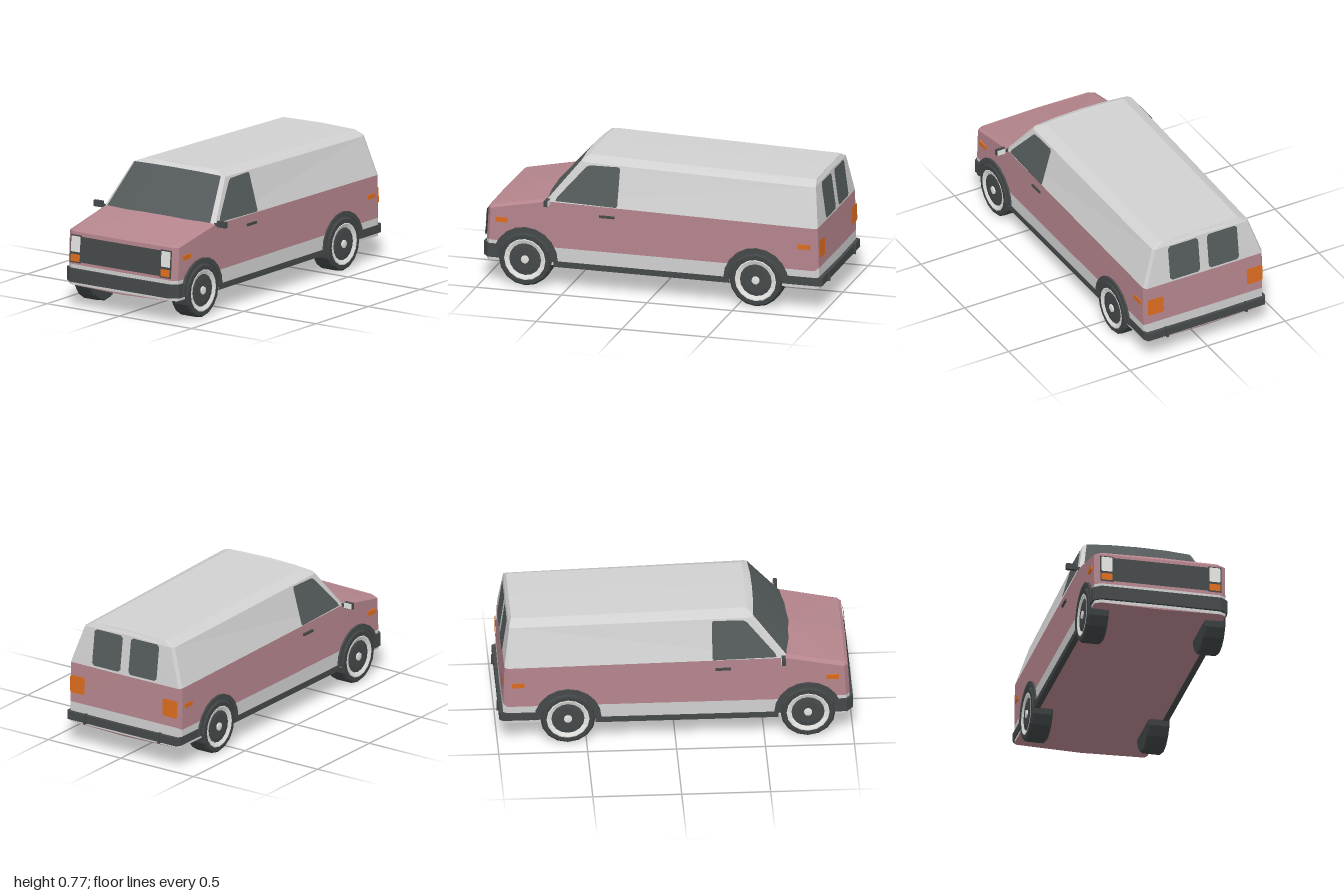
import * as THREE from 'three';

const paint = (name, color) => {
  const m = new THREE.MeshStandardMaterial({ color, side: THREE.DoubleSide });
  m.name = name;
  return m;
};

export function createModel() {
  const van = new THREE.Group();
  van.name = 'van';
  const pink = paint('dusty pink', 0xb5858d);
  const white = paint('off white', 0xd0d0d0);
  const glass = paint('dark glass', 0x545a5b);
  const trim = paint('dark trim', 0x454949);
  const tyreMat = paint('tyre', 0x3f4444);
  const rimMat = paint('bright rim', 0xe4e4e2);
  const orange = paint('orange lens', 0xdc6c1e);

  // Adds a flat-shaded mesh, and by default its mirror image across z = 0
  function add(name, mat, geo, both = true) {
    const flat = geo.index ? geo.toNonIndexed() : geo;
    flat.computeVertexNormals();
    van.add(Object.assign(new THREE.Mesh(flat, mat), { name }));
    if (!both) return;
    const other = flat.clone();
    const p = other.attributes.position;
    const src = flat.attributes.position;
    for (let i = 0; i < p.count; i++) {
      const j = i - (i % 3) + 2 - (i % 3);
      p.setXYZ(i, src.getX(j), src.getY(j), -src.getZ(j));
    }
    other.computeVertexNormals();
    van.add(Object.assign(new THREE.Mesh(other, mat), { name: name + 'Opposite' }));
  }

  // Quads between a lower and an upper line, both running from nose to tail
  function strip(name, mat, a, b) {
    const pos = [];
    for (let i = 0; i < a.length - 1; i++) {
      pos.push(...a[i], ...a[i + 1], ...b[i + 1], ...a[i], ...b[i + 1], ...b[i]);
    }
    const geo = new THREE.BufferGeometry();
    geo.setAttribute('position', new THREE.Float32BufferAttribute(pos, 3));
    add(name, mat, geo);
  }

  const poly = (pts) => new THREE.Shape(pts.map(([x, y]) => new THREE.Vector2(x, y)));

  // Rectangle with clipped corners
  const plate = (u0, v0, u1, v1, r = 0.01) => [
    [u0 + r, v0], [u1 - r, v0], [u1, v0 + r], [u1, v1 - r],
    [u1 - r, v1], [u0 + r, v1], [u0, v1 - r], [u0, v0 + r]];

  // Thin face laid onto a body surface by a mapping rule
  function panel(name, mat, pts, map) {
    const geo = new THREE.ShapeGeometry(poly(pts));
    const p = geo.attributes.position;
    for (let i = 0; i < p.count; i++) p.setXYZ(i, ...map(p.getX(i), p.getY(i)));
    add(name, mat, geo);
  }

  function box(name, mat, x0, x1, y0, y1, z0, z1, both = true) {
    const geo = new THREE.BoxGeometry(x1 - x0, y1 - y0, z1 - z0);
    geo.translate((x0 + x1) / 2, (y0 + y1) / 2, (z0 + z1) / 2);
    add(name, mat, geo, both);
  }

  // Lower body: stacked half outlines from nose to tail
  const outline = [[-0.987, 0], [-0.982, 0.345], [-0.96, 0.378], [-0.61, 0.383],
    [0.945, 0.383], [0.968, 0.37], [0.972, 0]];
  const ring = (ys) => outline.map(([x, z], i) => [x, ys[i], z]);
  const floor = ring(outline.map(() => 0.132));
  const stripe = ring([0.25, 0.25, 0.25, 0.237, 0.237, 0.252, 0.254]);
  const belt = [[-0.975, 0.437, 0], [-0.971, 0.437, 0.345], [-0.95, 0.437, 0.378],
    [-0.61, 0.505, 0.383], [0.94, 0.485, 0.383], [0.961, 0.485, 0.37], [0.964, 0.485, 0]];
  strip('floor', pink, floor.map(([x]) => [x, 0.122, 0]), floor);
  strip('lowerStripe', white, floor, stripe);
  strip('bodySide', pink, stripe, belt);

  // Hood with a bevelled edge
  const hood = [[-0.957, 0.456, 0], [-0.953, 0.453, 0.335], [-0.94, 0.452, 0.352],
    [-0.625, 0.515, 0.357]];
  const hoodMid = [hood[0], hood[0], hood[0], [-0.658, 0.524, 0]];
  strip('hoodEdge', pink, belt.slice(0, 4), hood);
  strip('hood', pink, hood, hoodMid);

  // Cabin: windscreen, walls, roof chamfer and roof
  const sill = [[-0.658, 0.52, 0], [-0.647, 0.516, 0.2], [-0.625, 0.512, 0.357], ...belt.slice(3)];
  const eave = [[-0.452, 0.75, 0], [-0.449, 0.748, 0.16], [-0.44, 0.742, 0.298],
    [-0.425, 0.735, 0.318], [0.91, 0.705, 0.308], [0.93, 0.708, 0.297], [0.933, 0.718, 0]];
  const crown = [[-0.41, 0.766, 0], [-0.41, 0.766, 0.16], [-0.405, 0.764, 0.24],
    [-0.395, 0.763, 0.25], [0.9, 0.735, 0.25], [0.917, 0.735, 0.242], [0.92, 0.738, 0]];
  strip('windscreen', glass, sill.slice(0, 3), eave.slice(0, 3));
  strip('cabinWall', white, sill.slice(2), eave.slice(2));
  strip('roofChamfer', white, eave, crown);
  strip('roof', white, crown, crown.map(([x, y]) => [x, y + 0.002, 0]));

  // Glass and lamps laid on the side, tail and nose
  const onSide = (x, y) => [x, y, 0.388 - (y - 0.5) * 0.28];
  const onTail = (u, y) => [(y < 0.485 ? 0.977 - (y - 0.254) * 0.03 : 0.97 - (y - 0.485) * 0.135), y, -u];
  const onNose = (off) => (z, y) => [-0.987 - off + (y - 0.25) * 0.064, y, z];
  panel('sideWindow', glass, [[-0.57, 0.512], [-0.215, 0.504], [-0.208, 0.515], [-0.208, 0.715],
    [-0.216, 0.725], [-0.385, 0.722], [-0.405, 0.712], [-0.56, 0.535]], onSide);
  panel('rearWindow', glass, plate(-0.222, 0.5, -0.028, 0.71, 0.014), onTail);
  panel('tailLight', orange, plate(-0.37, 0.31, -0.268, 0.412), onTail);
  panel('grille', trim, plate(0, 0.268, 0.272, 0.415, 0.001), onNose(0.004));
  panel('headlightFrame', trim, plate(0.272, 0.262, 0.35, 0.422, 0.003), onNose(0.004));
  panel('headlight', rimMat, plate(0.28, 0.325, 0.343, 0.415, 0.004), onNose(0.008));
  panel('turnSignal', orange, plate(0.28, 0.27, 0.343, 0.312, 0.004), onNose(0.008));

  // Side markers, door handle, sill skirt
  box('frontMarker', orange, -0.92, -0.85, 0.36, 0.387, 0.376, 0.387);
  box('rearMarker', orange, 0.85, 0.92, 0.36, 0.387, 0.376, 0.388);
  box('doorHandle', trim, -0.312, -0.225, 0.438, 0.452, 0.378, 0.392);
  box('sillSkirt', trim, -0.58, 0.45, 0.124, 0.157, 0.355, 0.388);

  // Door mirror
  box('mirrorArm', trim, -0.611, -0.599, 0.5, 0.514, 0.375, 0.405);
  box('mirrorHousing', trim, -0.617, -0.595, 0.495, 0.53, 0.4, 0.456);
  box('mirrorGlass', rimMat, -0.596, -0.592, 0.497, 0.528, 0.402, 0.454);

  // Bumpers wrapping round to the wheel arches
  function bumper(name, half, y0, y1) {
    const pts = [...half, ...half.map(([x, z]) => [x, -z]).reverse()];
    const geo = new THREE.ExtrudeGeometry(poly(pts), { depth: y1 - y0, bevelEnabled: false });
    geo.rotateX(-Math.PI / 2).translate(0, y0, 0);
    add(name, trim, geo, false);
  }
  bumper('frontBumper', [[-1, 0.345], [-0.965, 0.389], [-0.89, 0.389]], 0.15, 0.228);
  bumper('rearBumper', [[0.78, 0.389], [0.968, 0.389], [0.99, 0.375]], 0.15, 0.197);
  box('bumperGuard', trim, 0.975, 1, 0.145, 0.204, 0.249, 0.262);

  // Half ring or half disc standing over a wheel
  function arch(name, mat, x, outer, inner, z0, z1) {
    const arc = (r) => Array.from({ length: 11 }, (_, i) =>
      [x + r * Math.cos(i * Math.PI / 10), 0.152 + r * Math.sin(i * Math.PI / 10)]);
    const pts = inner ? [...arc(outer), ...arc(inner).reverse()] : arc(outer);
    const geo = new THREE.ExtrudeGeometry(poly(pts), { depth: z1 - z0, bevelEnabled: false });
    add(name, mat, geo.translate(0, 0, z0));
  }

  // Wheel part turned from a radius and width profile about the axle
  function turned(name, mat, x, profile) {
    const geo = new THREE.LatheGeometry(profile.map(([r, z]) => new THREE.Vector2(r, z)), 16);
    geo.rotateX(Math.PI / 2).translate(x, 0.155, 0);
    add(name, mat, geo);
  }

  for (const [end, x] of [['front', -0.745], ['rear', 0.605]]) {
    arch(end + 'ArchLiner', trim, x, 0.175, 0, 0.37, 0.386);
    arch(end + 'ArchFlare', trim, x, 0.19, 0.164, 0.37, 0.394);
    turned(end + 'Tyre', tyreMat, x, [[0, 0.276], [0.145, 0.276], [0.155, 0.286],
      [0.155, 0.386], [0.145, 0.397], [0.12, 0.397], [0.118, 0.388]]);
    turned(end + 'Rim', rimMat, x, [[0.121, 0.398], [0.115, 0.399], [0.093, 0.39]]);
    turned(end + 'WheelDisc', trim, x, [[0.094, 0.39], [0.07, 0.393], [0.022, 0.393]]);
    turned(end + 'Hub', rimMat, x, [[0.024, 0.39], [0.022, 0.4], [0, 0.402]]);
  }
  return van;
}
